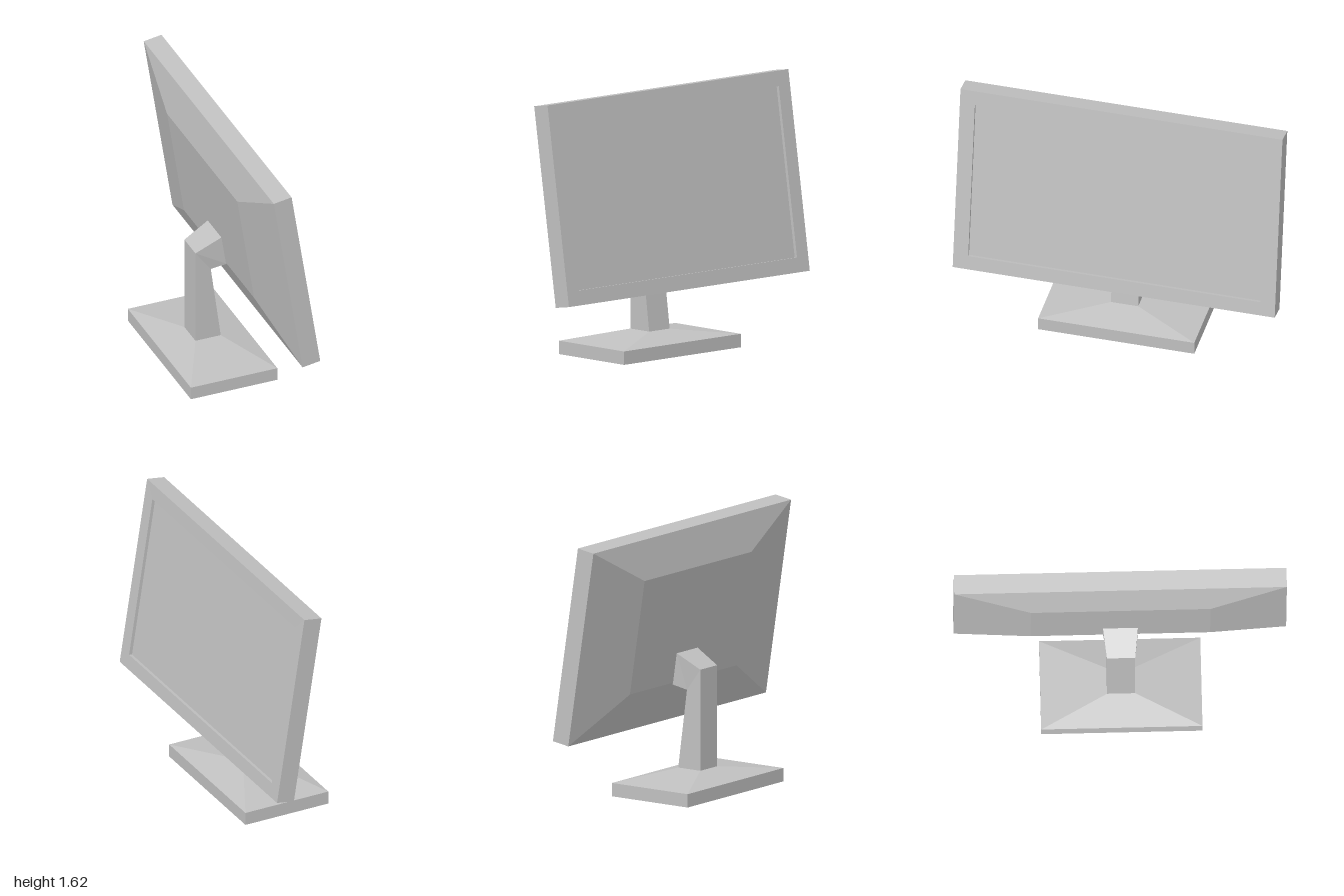
import * as THREE from 'three';

// Four-cornered cross-section: two [x, y] edges, each spanning z = -h..h
const ring = ([x0, y0], [x1, y1], h) => [[x0, y0, h], [x0, y0, -h], [x1, y1, -h], [x1, y1, h]];

// Flat-faced skin through successive cross-sections, with optional end caps
function loft(rings, startCap, endCap) {
  const pos = [];
  const quad = (a, b, c, d) => pos.push(...a, ...b, ...c, ...a, ...c, ...d);
  for (let r = 0; r < rings.length - 1; r++) {
    const a = rings[r], b = rings[r + 1];
    for (let i = 0; i < 4; i++) {
      const j = (i + 1) % 4;
      quad(a[i], a[j], b[j], b[i]);
    }
  }
  if (startCap) quad(...[...rings[0]].reverse());
  if (endCap) quad(...rings[rings.length - 1]);
  const geo = new THREE.BufferGeometry();
  geo.setAttribute('position', new THREE.Float32BufferAttribute(pos, 3));
  geo.computeVertexNormals();
  return geo;
}

export function createModel() {
  const model = new THREE.Group();
  model.name = 'monitor';
  const grey = new THREE.MeshStandardMaterial({ color: 0xc0c0c0 });
  grey.name = 'light grey';

  const add = (name, geo) => {
    const mesh = new THREE.Mesh(geo, grey);
    mesh.name = name;
    model.add(mesh);
  };

  // Foot: slab with a sloped top
  add('base', loft([
    ring([0.25, 0], [-0.315, 0], 0.485),
    ring([0.25, 0.082], [-0.315, 0.082], 0.485),
    ring([0.05, 0.135], [-0.115, 0.135], 0.085),
  ], true, true));

  // Post that bends forward and widens into the back of the panel
  add('stand', loft([
    ring([0.05, 0.135], [-0.115, 0.135], 0.085),
    ring([-0.015, 0.62], [-0.115, 0.755], 0.085),
    ring([0.08, 0.645], [0.046, 0.84], 0.105),
  ], true, true));

  // Tilted housing: raised back, rim, bezel and the walls of the screen recess
  const recess = ring([0.277, 0.502], [0.119, 1.527], 0.907);
  add('housing', loft([
    ring([0.075, 0.655], [-0.035, 1.365], 0.54),
    ring([0.196, 0.398], [0.008, 1.604], 1),
    ring([0.311, 0.416], [0.124, 1.622], 1),
    ring([0.297, 0.505], [0.138, 1.53], 0.907),
    recess,
  ], true, false));

  // Sunken display surface
  add('screen', loft([recess], false, true));

  return model;
}
